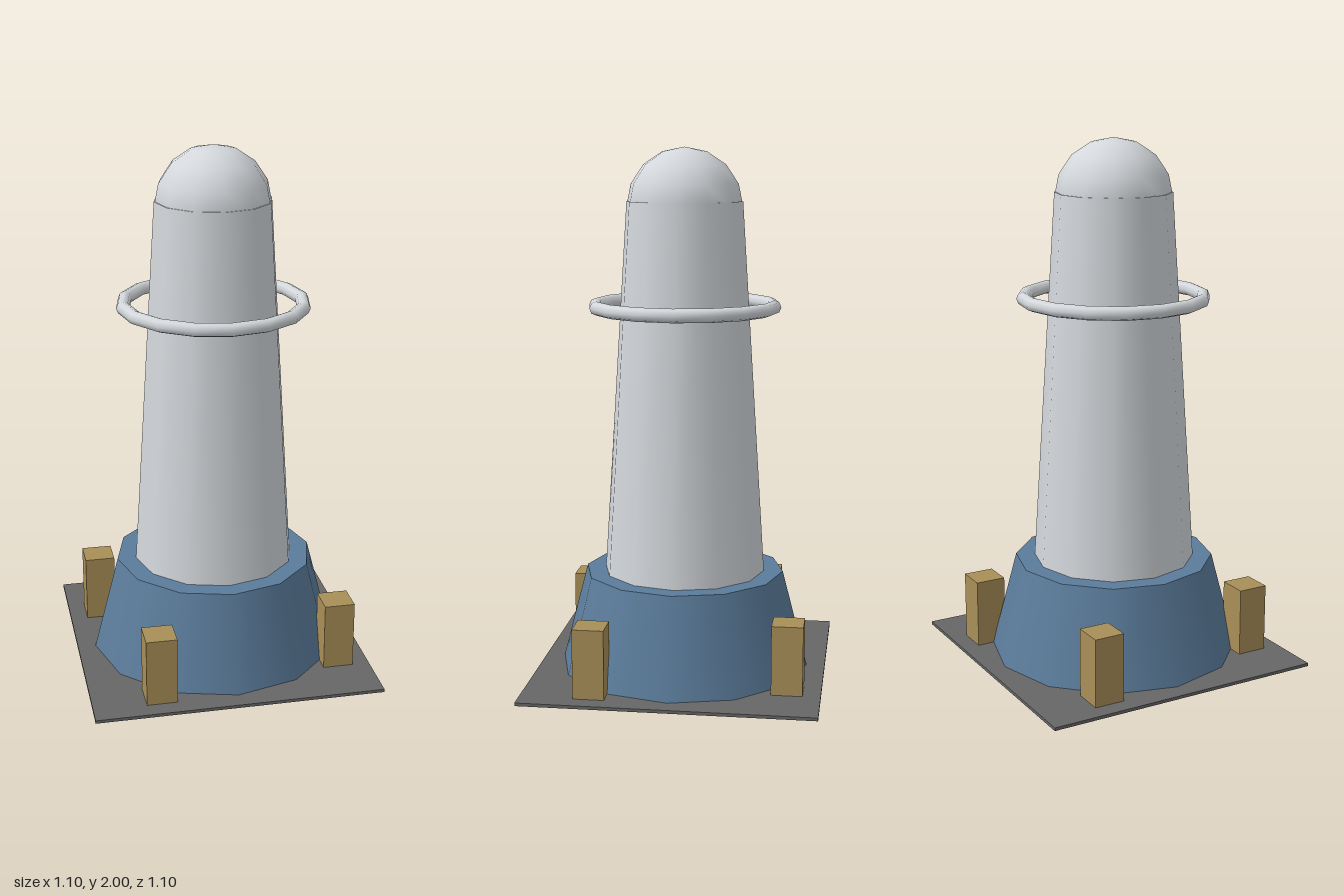
import * as THREE from 'three';

const mat = (name, color) => {
  const m = new THREE.MeshStandardMaterial({ color });
  m.name = name;
  return m;
};

export function createModel() {
  const group = new THREE.Group();
  const paleGrey = mat('pale grey', 0xd4d8dc);
  const blue = mat('slate blue', 0x5b7c9b);
  const tan = mat('tan', 0xa98f58);
  const darkGrey = mat('dark grey', 0x666666);

  const add = (name, geometry, material, x, y, z) => {
    const mesh = new THREE.Mesh(geometry, material);
    mesh.name = name;
    mesh.position.set(x, y, z);
    group.add(mesh);
    return mesh;
  };
  // Tapered twelve-sided drum standing between two heights
  const drum = (name, rTop, rBottom, y0, y1, material) =>
    add(name, new THREE.CylinderGeometry(rTop, rBottom, y1 - y0, 12), material, 0, (y0 + y1) / 2, 0);

  // Ground plate
  add('groundPlate', new THREE.BoxGeometry(1.1, 0.012, 1.1), darkGrey, 0, 0.006, 0);

  // Flared base and tapering tower
  drum('base', 0.383, 0.48, 0.012, 0.385, blue);
  drum('tower', 0.22, 0.31, 0.38, 1.8, paleGrey);

  // Rounded cap
  add('dome', new THREE.SphereGeometry(0.22, 12, 8), paleGrey, 0, 1.78, 0);

  // Ring floating around the tower
  add('ring', new THREE.TorusGeometry(0.34, 0.026, 8, 16), paleGrey, 0, 1.407, 0).rotation.x = Math.PI / 2;

  // Four square posts around the base
  const post = new THREE.BoxGeometry(0.117, 0.263, 0.117);
  for (let i = 0; i < 4; i++) {
    const a = 0.6 + (i * Math.PI) / 2;
    add('post' + (i + 1), post, tan, 0.515 * Math.cos(a), 0.1435, 0.515 * Math.sin(a));
  }

  return group;
}
